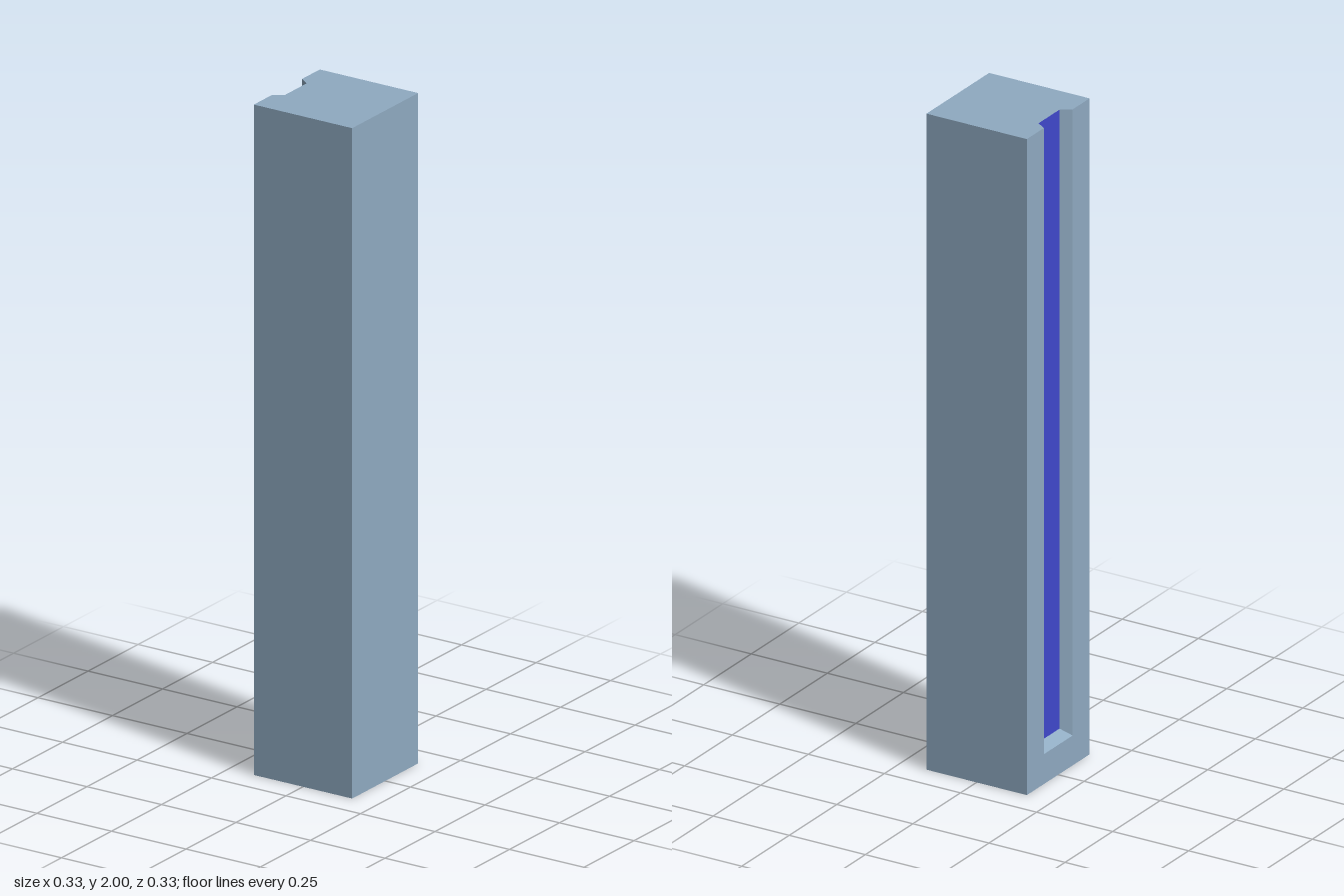
import * as THREE from 'three';

const H = 2;         // post height
const W = 0.165;     // half width
const D = -0.135;    // x of the groove floor
const OUT = 0.076;   // groove half width at the surface
const INN = 0.055;   // groove half width at its floor
const LOW = 0.091;   // groove end height at the surface
const LOW_IN = 0.113; // groove end height at its floor

// Flat-faced geometry from counter-clockwise four-cornered panels
function panels(quads) {
  const pos = [];
  for (const [a, b, c, d] of quads) pos.push(...a, ...b, ...c, ...a, ...c, ...d);
  const g = new THREE.BufferGeometry();
  g.setAttribute('position', new THREE.Float32BufferAttribute(pos, 3));
  g.computeVertexNormals();
  return g;
}

export function createModel() {
  const group = new THREE.Group();
  group.name = 'groovedPost';

  const postBlue = new THREE.MeshStandardMaterial({ color: 0x8faac1 });
  postBlue.name = 'steel blue';
  const grooveBlue = new THREE.MeshStandardMaterial({ color: 0x3f48cc });
  grooveBlue.name = 'indigo';

  const add = (name, quads, material) => {
    const mesh = new THREE.Mesh(panels(quads), material);
    mesh.name = name;
    group.add(mesh);
  };

  const side = (z, y) => [-W, y, z];  // point on the grooved side
  const deep = (z, y) => [D, y, z];   // point on the groove floor

  // Plain faces: front, back, left side and base
  add('postBody', [
    [[-W, 0, W], [W, 0, W], [W, H, W], [-W, H, W]],
    [[W, 0, -W], [-W, 0, -W], [-W, H, -W], [W, H, -W]],
    [[W, 0, W], [W, 0, -W], [W, H, -W], [W, H, W]],
    [[-W, 0, -W], [W, 0, -W], [W, 0, W], [-W, 0, W]],
  ], postBlue);

  // Top face, notched where the groove runs out
  add('postTop', [
    [side(OUT, H), side(W, H), [W, H, W], deep(INN, H)],
    [deep(INN, H), [W, H, W], [W, H, -W], deep(-INN, H)],
    [deep(-INN, H), [W, H, -W], side(-W, H), side(-OUT, H)],
  ], postBlue);

  // Side face around the groove
  add('groovedSide', [
    [side(-W, 0), side(-OUT, LOW), side(-OUT, H), side(-W, H)],
    [side(-W, 0), side(W, 0), side(OUT, LOW), side(-OUT, LOW)],
    [side(OUT, LOW), side(W, 0), side(W, H), side(OUT, H)],
  ], postBlue);

  // Sloping groove walls and lower end
  add('grooveWalls', [
    [deep(INN, LOW_IN), side(OUT, LOW), side(OUT, H), deep(INN, H)],
    [side(-OUT, LOW), deep(-INN, LOW_IN), deep(-INN, H), side(-OUT, H)],
    [side(-OUT, LOW), side(OUT, LOW), deep(INN, LOW_IN), deep(-INN, LOW_IN)],
  ], postBlue);

  // Coloured strip at the bottom of the groove
  add('grooveFloor', [
    [deep(-INN, LOW_IN), deep(INN, LOW_IN), deep(INN, H), deep(-INN, H)],
  ], grooveBlue);

  return group;
}
